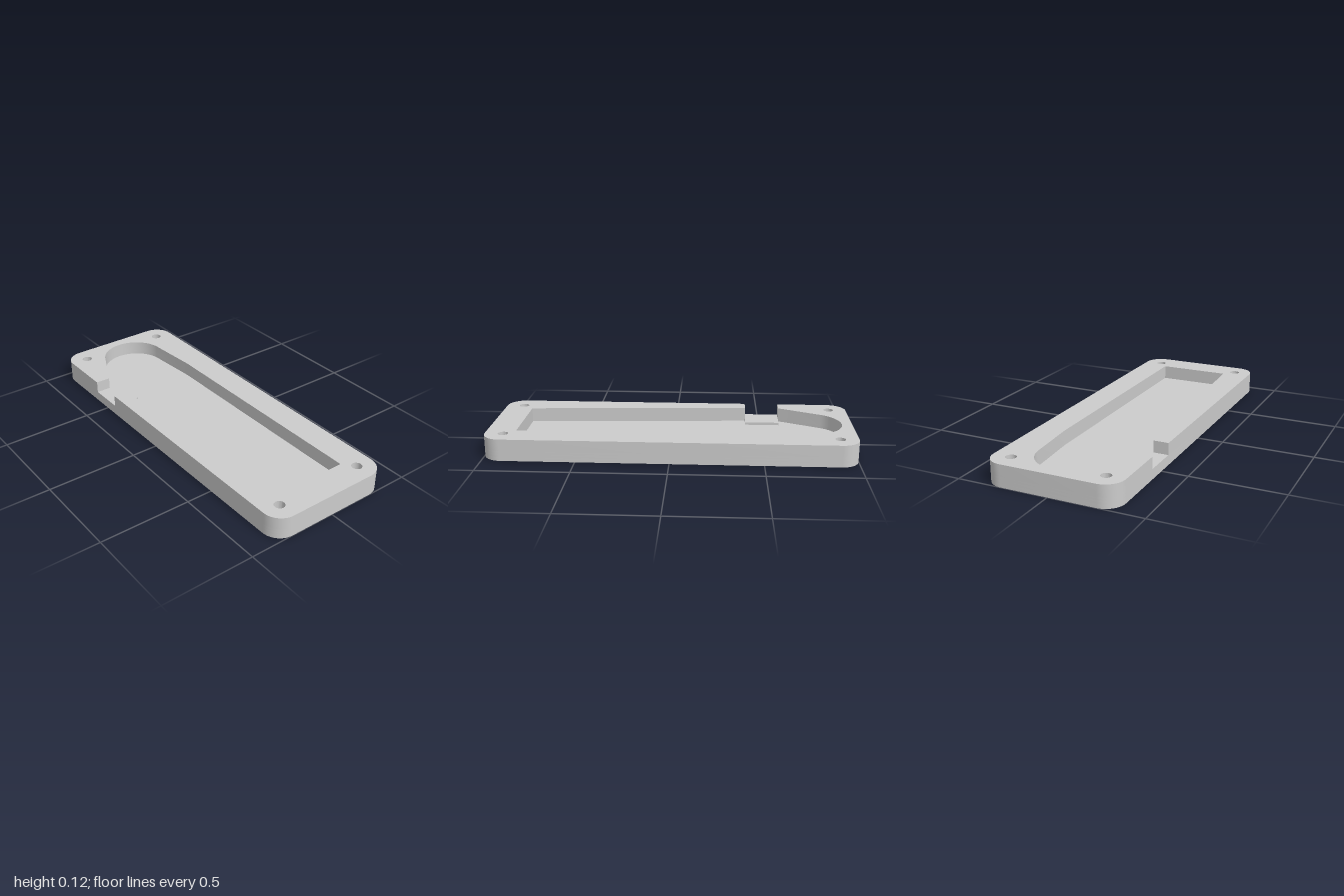
import * as THREE from 'three';
import { toCreasedNormals } from 'three/addons/utils/BufferGeometryUtils.js';

const HX = 0.9, HZ = 0.257, R = 0.1; // screw positions, also the corner centres
const v = (x, z) => new THREE.Vector2(x, z);
const arc = (cx, cz, r, from, to, n) =>
  Array.from({ length: n + 1 }, (_, i) => {
    const a = THREE.MathUtils.degToRad(from + ((to - from) * i) / n);
    return v(cx + r * Math.cos(a), cz + r * Math.sin(a));
  });

// Round or hexagonal openings at the four corners
const cornerHoles = (r, sides) =>
  [[1, 1], [1, -1], [-1, -1], [-1, 1]].map(([sx, sz]) =>
    arc(sx * HX, sz * HZ, r, 0, 360, sides).slice(0, -1));

// Rounded rectangle, starting and ending on the front edge
const outline = () => [
  ...arc(HX, HZ, R, 90, 0, 14),
  ...arc(HX, -HZ, R, 0, -90, 14),
  ...arc(-HX, -HZ, R, -90, -180, 14),
  ...arc(-HX, HZ, R, 180, 90, 14),
];

// Cavity boundary from one side of the cable notch round to the other
const NOTCH_L = -0.61, NOTCH_R = -0.415, NOTCH_Z = 0.275;
const pocket = () => [
  v(NOTCH_L, NOTCH_Z),
  ...arc(-0.76, 0, 0.182, 118, 262, 32),
  v(-0.48, -0.203), v(0.84, -0.203), v(0.84, 0.2),
  v(NOTCH_R, NOTCH_Z),
];

// Underside recess: a rectangle stepping round a hexagonal boss in each corner
const recess = () => {
  const corner = [v(0.95, 0.193), v(0.9435, 0.182), v(0.8565, 0.182), v(0.813, 0.257), v(0.841, 0.307)];
  const mirror = (sx, sz) => {
    const p = corner.map((c) => v(c.x * sx, c.y * sz));
    return sx * sz < 0 ? p.reverse() : p;
  };
  return [...mirror(1, 1), ...mirror(-1, 1), ...mirror(-1, -1), ...mirror(1, -1)];
};

// Flat slab between two heights
function slab(name, points, holes, y0, y1) {
  const shape = new THREE.Shape(points);
  shape.holes = holes.map((h) => new THREE.Path(h));
  const geo = new THREE.ExtrudeGeometry(shape, { depth: y1 - y0, bevelEnabled: false });
  geo.rotateX(Math.PI / 2).translate(0, y1, 0);
  const mesh = new THREE.Mesh(
    toCreasedNormals(geo, 0.5),
    new THREE.MeshStandardMaterial({ color: 0xcccccc }));
  mesh.name = name;
  return mesh;
}

export function createModel() {
  const group = new THREE.Group();
  group.name = 'enclosureHalf';
  const nuts = () => cornerHoles(0.046, 6);
  const screws = () => cornerHoles(0.028, 24);

  // Bottom rim with nut bosses
  group.add(slab('bottomRim', outline(), [recess(), ...nuts()], 0, 0.022));
  // Cavity floor
  group.add(slab('floor', outline(), nuts(), 0.022, 0.04));
  // Lower wall, with the notch ledge reaching into the cavity
  const ledge = [...pocket(), v(NOTCH_R, 0.2), v(NOTCH_L, 0.2)];
  group.add(slab('lowerWall', outline(), [ledge, ...screws()], 0.04, 0.055));
  // Upper wall, open at the notch
  const open = [v(NOTCH_R, 0.357), ...outline(), v(NOTCH_L, 0.357), ...pocket()];
  group.add(slab('upperWall', open, screws(), 0.055, 0.12));
  return group;
}
